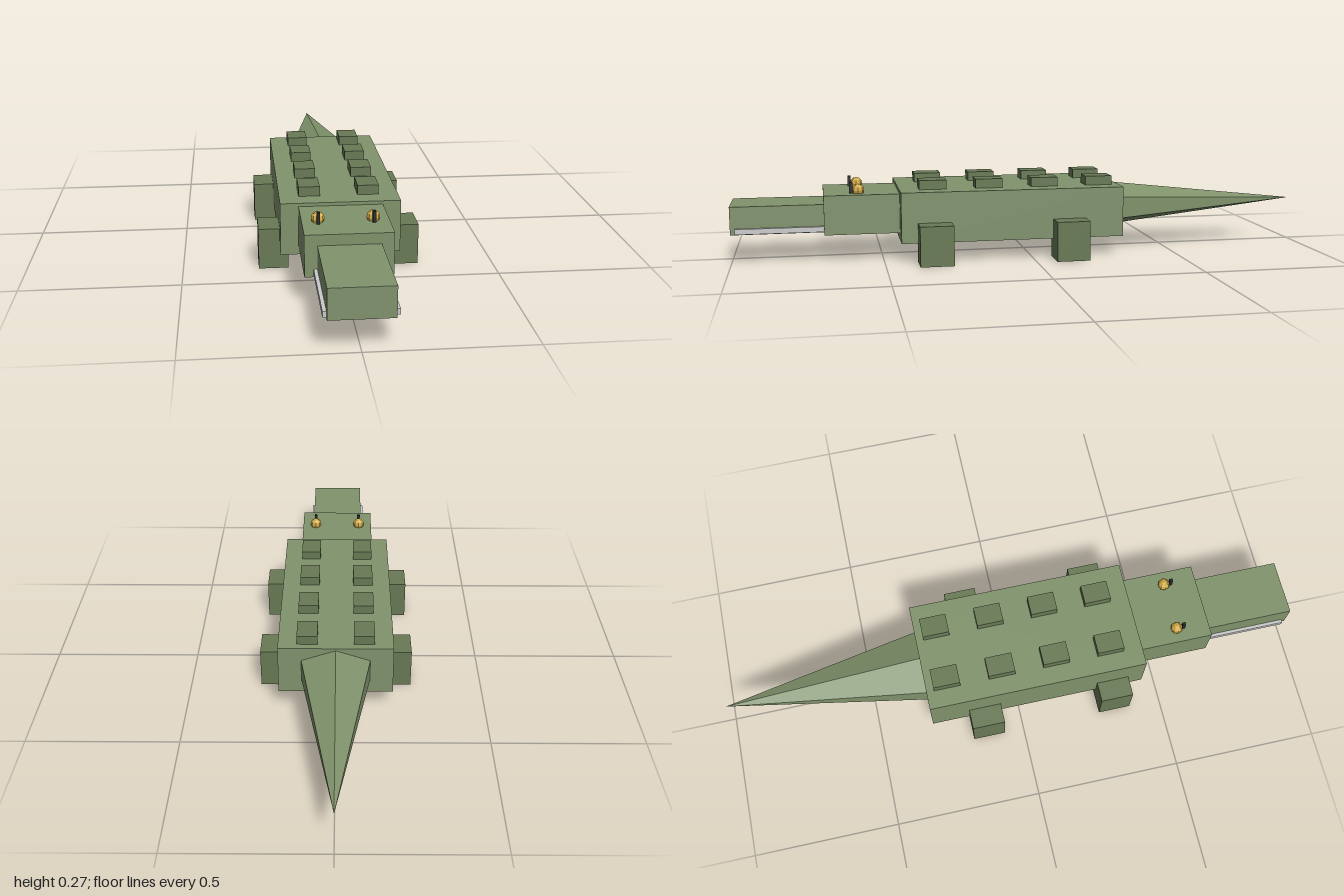
import * as THREE from 'three';

const material = (color) => {
  const m = new THREE.MeshStandardMaterial({ color });
  m.flatShading = true;
  return m;
};

export function createModel() {
  const group = new THREE.Group();
  const skin = material(0x80936c);
  const darkSkin = material(0x697a55);
  const ivory = material(0xcccccc);
  const gold = material(0xd0aa45);
  const black = material(0x2b2b2b);

  const add = (name, geometry, mat, x, y, z) => {
    const mesh = new THREE.Mesh(geometry, mat);
    mesh.name = name;
    mesh.position.set(x, y, z);
    group.add(mesh);
    return mesh;
  };
  // Box given by its lower and upper limits on each axis
  const box = (name, mat, [x0, x1], [y0, y1], [z0, z1]) =>
    add(name, new THREE.BoxGeometry(x1 - x0, y1 - y0, z1 - z0), mat,
      (x0 + x1) / 2, (y0 + y1) / 2, (z0 + z1) / 2);

  // Trunk, head and snout
  box('body', skin, [-0.19, 0.19], [0.067, 0.237], [-0.312, 0.445]);
  box('head', skin, [-0.133, 0.133], [0.094, 0.226], [0.44, 0.695]);
  box('snout', skin, [-0.095, 0.095], [0.098, 0.192], [0.69, 1]);

  // Six-sided tail, wider than tall, tapering to a point
  const tail = new THREE.ConeGeometry(0.077, 0.688, 6);
  tail.rotateX(-Math.PI / 2);
  tail.scale(1.7, 1, 1);
  add('tail', tail, skin, 0, 0.152, -0.656);

  for (const side of [1, -1]) {
    const name = side > 0 ? 'left' : 'right';
    const span = (a, b) => (side > 0 ? [a, b] : [-b, -a]);

    // Tooth strip along the jaw
    box(name + 'Teeth', ivory, span(0.085, 0.106), [0.101, 0.119], [0.69, 0.985]);

    // Legs
    box(name + 'FrontLeg', darkSkin, span(0.163, 0.258), [0, 0.134], [0.278, 0.39]);
    box(name + 'BackLeg', darkSkin, span(0.163, 0.258), [0, 0.134], [-0.18, -0.068]);

    // Row of back plates
    for (let i = 0; i < 4; i++) {
      const z = 0.333 - i * 0.191;
      box(name + 'BackPlate' + (i + 1), darkSkin, span(0.06, 0.128), [0.23, 0.268], [z - 0.046, z + 0.046]);
    }

    // Faceted eye with an upright slit pupil
    add(name + 'Eye', new THREE.SphereGeometry(0.021, 8, 6), gold, side * 0.084, 0.236, 0.58);
    box(name + 'Pupil', black, span(0.079, 0.089), [0.224, 0.262], [0.598, 0.609]);
  }
  return group;
}
